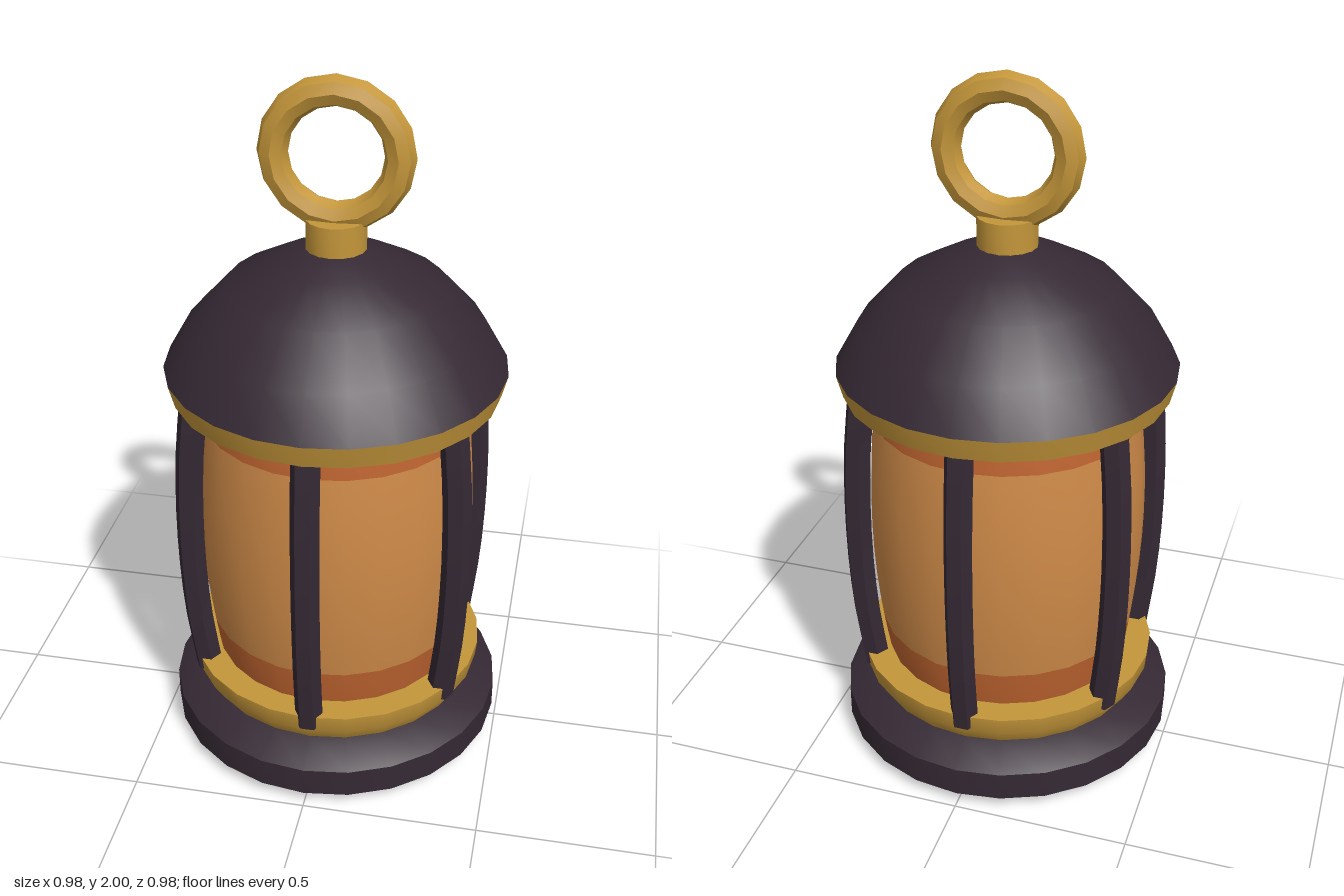
import * as THREE from 'three';
import { toCreasedNormals } from 'three/addons/utils/BufferGeometryUtils.js';

const CREASE = 0.6;

function material(name, color) {
  const m = new THREE.MeshStandardMaterial({ color });
  m.name = name;
  return m;
}

export function createModel() {
  const iron = material('dark iron', 0x352934);
  const brass = material('brass', 0xc4963a);
  const glass = material('amber glass', 0xce8a48);
  const band = material('burnt orange', 0xbd632f);

  const lantern = new THREE.Group();
  lantern.name = 'lantern';

  function add(parent, name, geometry, mat) {
    const mesh = new THREE.Mesh(toCreasedNormals(geometry, CREASE), mat);
    mesh.name = name;
    parent.add(mesh);
    return mesh;
  }

  // Turned part from [radius, height] pairs, listed bottom to top
  function turned(name, profile, mat, sides = 24) {
    const points = profile.map(([r, y]) => new THREE.Vector2(r, y));
    return add(lantern, name, new THREE.LatheGeometry(points, sides), mat);
  }

  // Foot and lower collar
  turned('base', [[0, 0], [0.44, 0], [0.49, 0.04], [0.49, 0.125], [0.405, 0.178], [0, 0.178]], iron);
  turned('lowerCollar', [[0, 0.175], [0.4, 0.175], [0.43, 0.225], [0.435, 0.275], [0, 0.275]], brass);

  // Bulging glass with a coloured band at each end
  const glassRadius = (y) => 0.398 - 0.2 * (y - 0.72) ** 2;
  function glassSlice(name, y0, y1, steps, mat) {
    const profile = [];
    for (let i = 0; i <= steps; i++) {
      const y = y0 + (y1 - y0) * i / steps;
      profile.push([glassRadius(y), y]);
    }
    turned(name, profile, mat);
  }
  glassSlice('lowerGlassBand', 0.27, 0.385, 2, band);
  glassSlice('glass', 0.385, 1.035, 8, glass);
  glassSlice('upperGlassBand', 1.035, 1.14, 2, band);

  // Six bowed six-sided cage bars
  const path = new THREE.CatmullRomCurve3([
    new THREE.Vector3(0, 0.237, 0.402),
    new THREE.Vector3(0, 0.45, 0.428),
    new THREE.Vector3(0, 0.7, 0.438),
    new THREE.Vector3(0, 0.95, 0.43),
    new THREE.Vector3(0, 1.15, 0.408),
  ]);
  const barGeometry = new THREE.TubeGeometry(path, 10, 0.04, 6);
  const capGeometry = new THREE.CircleGeometry(0.04, 6);
  for (let i = 0; i < 6; i++) {
    const bar = new THREE.Group();
    bar.name = 'cageBar' + (i + 1);
    bar.rotation.y = i * Math.PI / 3;
    add(bar, 'bar', barGeometry, iron);
    const cap = add(bar, 'barEnd', capGeometry, iron);
    cap.position.copy(path.getPoint(0));
    cap.quaternion.setFromUnitVectors(new THREE.Vector3(0, 0, 1), path.getTangent(0).negate());
    lantern.add(bar);
  }

  // Brim and domed roof
  turned('brim', [[0, 1.125], [0.46, 1.125], [0.477, 1.19], [0, 1.19]], brass);
  turned('roof', [[0.477, 1.19], [0.41, 1.308], [0.3, 1.427], [0.17, 1.497], [0.075, 1.535], [0, 1.537]], iron);

  // Neck and carrying ring
  turned('neck', [[0, 1.52], [0.083, 1.52], [0.083, 1.615], [0, 1.615]], brass, 16);
  const ring = add(lantern, 'ring', new THREE.TorusGeometry(0.169, 0.042, 8, 16), brass);
  ring.position.y = 1.789;

  return lantern;
}
